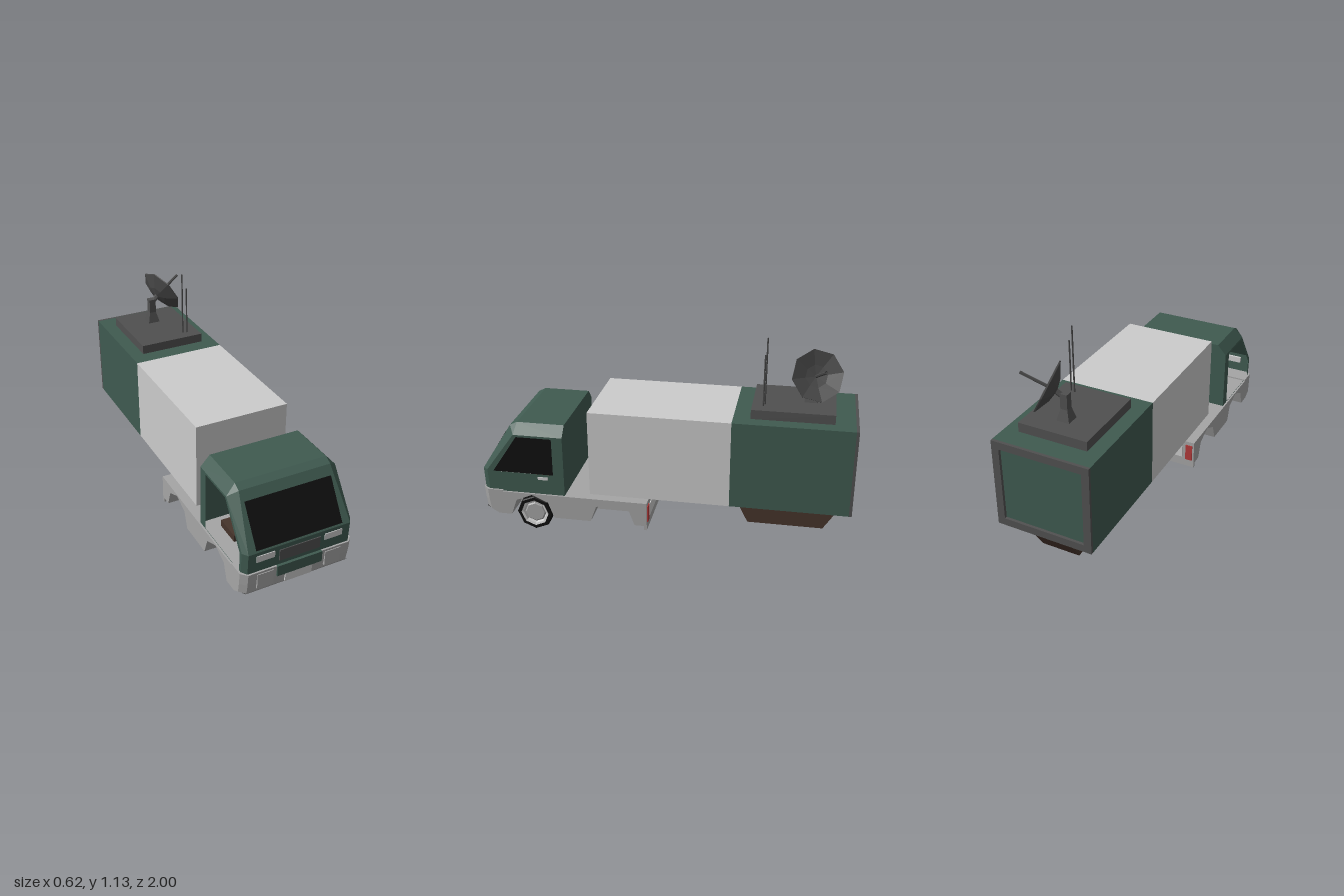
import * as THREE from 'three';
import { ConvexGeometry } from 'three/addons/geometries/ConvexGeometry.js';

const mat = (color) => new THREE.MeshStandardMaterial({ color, flatShading: true, side: THREE.DoubleSide });
const M = {
  pale: mat(0xcccccc), grey: mat(0xa5a5a5), dark: mat(0x505050), metal: mat(0x484848),
  green: mat(0x3f5a50), brown: mat(0x46342b), black: mat(0x101010), red: mat(0xb03a3a),
};

export function createModel() {
  const root = new THREE.Group();

  const add = (name, geo, m, parent = root) => {
    const mesh = new THREE.Mesh(geo, m);
    mesh.name = name;
    parent.add(mesh);
    return mesh;
  };
  // box given by its minimum and maximum on each axis
  const box = (name, m, x0, x1, y0, y1, z0, z1, parent) =>
    add(name, new THREE.BoxGeometry(x1 - x0, y1 - y0, z1 - z0)
      .translate((x0 + x1) / 2, (y0 + y1) / 2, (z0 + z1) / 2), m, parent);
  // flat convex polygons, each split into a fan
  const panels = (name, m, polys, parent) => {
    const pos = [];
    for (const p of polys)
      for (let i = 1; i < p.length - 1; i++) pos.push(...p[0], ...p[i], ...p[i + 1]);
    const g = new THREE.BufferGeometry();
    g.setAttribute('position', new THREE.Float32BufferAttribute(pos, 3));
    g.computeVertexNormals();
    return add(name, g, m, parent);
  };
  const shapeOf = (pts) => new THREE.Shape(pts.map((p) => new THREE.Vector2(...p)));
  // side-profile (z, y) extruded from x0 to x1
  const extrudeX = (pts, x0, x1) =>
    new THREE.ExtrudeGeometry(shapeOf(pts), { depth: x1 - x0, bevelEnabled: false })
      .rotateY(-Math.PI / 2).translate(x1, 0, 0);
  // round bar between two points
  const bar = (name, m, a, b, r, sides, parent) =>
    add(name, new THREE.TubeGeometry(new THREE.LineCurve3(a, b), 1, r, sides), m, parent);

  // --- Cargo body ---
  box('cargoBoxFront', M.pale, -0.26, 0.26, 0.24, 0.72, -0.36, 0.4);
  box('cargoBoxRear', M.green, -0.26, 0.26, 0.24, 0.72, -0.985, -0.36);
  box('cargoFloor', M.dark, -0.255, 0.255, 0.238, 0.242, -0.36, 0.395);
  for (const s of [-1, 1]) {
    box('rearFrameSide', M.dark, s * 0.24 - 0.02, s * 0.24 + 0.02, 0.24, 0.72, -1, -0.985);
    box('rearFrameRail', M.dark, -0.22, 0.22, 0.48 + s * 0.22 - 0.02, 0.48 + s * 0.22 + 0.02, -1, -0.985);
  }
  add('underTank', extrudeX([[-0.36, 0.24], [-0.45, 0.065], [-0.86, 0.065], [-0.97, 0.24]], -0.105, 0.105), M.brown);

  // --- Chassis with wheel arches ---
  const chassis = new THREE.Group();
  chassis.name = 'chassis';
  root.add(chassis);
  const arch = (c) => [[-0.122, 0.1], [-0.09, 0.19], [0, 0.23], [0.09, 0.19], [0.122, 0.1]].map(([z, y]) => [z + c, y]);
  const sill = [[0.09, 0.237], [0.09, 0.1], ...arch(0.265), ...arch(0.715), [0.9, 0.1], [0.9, 0.237]];
  box('chassisCore', M.grey, -0.17, 0.17, 0.1, 0.237, 0.09, 0.9, chassis);
  add('sillLeft', extrudeX(sill, 0.17, 0.31), M.grey, chassis);
  add('sillRight', extrudeX(sill, -0.31, -0.17), M.grey, chassis);
  box('rearPlate', M.grey, -0.31, 0.31, 0.075, 0.237, 0.075, 0.09, chassis);
  box('rearPanel', M.pale, -0.24, 0.24, 0.13, 0.2, 0.071, 0.076, chassis);

  // --- Front bumper: tapering plan, lower edge cut back ---
  const hull = [];
  for (const [y, z] of [[0.245, 0.995], [0.18, 0.99], [0.125, 0.982], [0.1, 0.94]])
    for (const s of [-1, 1])
      hull.push(new THREE.Vector3(s * 0.31, y, 0.88), new THREE.Vector3(s * 0.31, y, z - 0.03), new THREE.Vector3(s * 0.28, y, z));
  add('bumper', new ConvexGeometry(hull), M.grey);
  panels('bumperLowerStrip', M.dark, [[[-0.285, 0.1, 0.944], [0.285, 0.1, 0.944], [0.285, 0.126, 0.986], [-0.285, 0.126, 0.986]]]);
  box('bumperGrille', M.green, -0.125, 0.125, 0.185, 0.245, 0.97, 1);
  box('frontPlate', M.pale, -0.075, 0.075, 0.13, 0.184, 0.97, 0.993);
  for (const s of [-1, 1]) {
    box('foglight', M.grey, s * 0.188 - 0.044, s * 0.188 + 0.044, 0.147, 0.232, 0.97, 0.998);
    box('tailLight', M.red, s * 0.28 - 0.02, s * 0.28 + 0.02, 0.12, 0.215, 0.07, 0.08, chassis);
  }

  // --- Cab shell ---
  const cab = new THREE.Group();
  cab.name = 'cab';
  root.add(cab);
  // outer side edge and matching inner edge of the corner chamfer
  const outer = [[0.3, 0.58, 0.53], [0.3, 0.58, 0.8], [0.3, 0.36, 0.962], [0.3, 0.235, 0.955]];
  const inner = [[0.25, 0.635, 0.53], [0.25, 0.635, 0.79], [0.25, 0.615, 0.83], [0.28, 0.36, 0.99], [0.28, 0.235, 0.985]];
  const flip = ([x, y, z]) => [-x, y, z];
  const corner = [
    [outer[0], outer[1], inner[1], inner[0]],
    [outer[1], inner[2], inner[1]],
    [outer[1], outer[2], inner[3], inner[2]],
    [outer[2], outer[3], inner[4], inner[3]],
  ];
  panels('cabCorners', M.green, [...corner, ...corner.map((p) => p.map(flip))], cab);
  const across = (i) => [inner[i], inner[i + 1], flip(inner[i + 1]), flip(inner[i])];
  panels('cabRoofAndFront', M.green, [0, 1, 2, 3].map(across), cab);
  const backEdge = [[0.3, 0.235, 0.53], outer[0], inner[0]];
  panels('cabBackWall', M.green, [[...backEdge, ...backEdge.map(flip).reverse()]], cab);

  // side walls: a glazed door on the left, an open doorway on the right
  const windowPts = [[0.59, 0.355], [0.928, 0.355], [0.785, 0.568], [0.59, 0.568]];
  const doorway = [[0.585, 0.24], [0.94, 0.24], [0.942, 0.35], [0.79, 0.568], [0.585, 0.568]];
  for (const [name, x, hole] of [['doorSideLeft', 0.3, windowPts], ['doorSideRight', -0.3, doorway]]) {
    const side = shapeOf([[0.53, 0.235], ...[...outer].reverse().map(([, y, z]) => [z, y]), [0.53, 0.58]]);
    side.holes.push(shapeOf(hole));
    add(name, new THREE.ShapeGeometry(side).rotateY(-Math.PI / 2).translate(x, 0, 0), M.green, cab);
  }
  add('sideWindow', new THREE.ShapeGeometry(shapeOf(windowPts)).rotateY(-Math.PI / 2).translate(0.299, 0, 0), M.black, cab);
  box('doorHandle', M.pale, 0.3, 0.306, 0.325, 0.34, 0.62, 0.675, cab);

  // windscreen lies just proud of the sloping front
  const slopeZ = (y) => 0.83 + ((0.615 - y) * 0.16) / 0.255 + 0.003;
  panels('windscreen', M.black, [[[-0.237, 0.37], [0.237, 0.37], [0.237, 0.57], [-0.237, 0.57]].map(([x, y]) => [x, y, slopeZ(y)])], cab);
  box('grille', M.dark, -0.112, 0.112, 0.272, 0.335, 0.975, 0.994, cab);
  for (const s of [-1, 1]) {
    box('headlight', M.pale, s * 0.187 - 0.049, s * 0.187 + 0.049, 0.305, 0.34, 0.975, 0.993, cab);
    box('seat', M.brown, s * 0.14 - 0.08, s * 0.14 + 0.08, 0.237, 0.275, 0.6, 0.74, cab);
  }

  // --- Front wheel and half axle ---
  const wheel = new THREE.Group();
  wheel.name = 'frontWheel';
  wheel.position.set(0.24, 0.101, 0.715);
  root.add(wheel);
  // lathe profile (radius, outward distance)
  const turned = (name, pts, m) =>
    add(name, new THREE.LatheGeometry(pts.map((p) => new THREE.Vector2(...p)), 8).rotateZ(-Math.PI / 2), m, wheel);
  turned('tyre', [[0, -0.04], [0.09, -0.04], [0.101, -0.03], [0.101, 0.032], [0.096, 0.04], [0.078, 0.04]], M.black);
  turned('rim', [[0.078, 0.04], [0.066, 0.036], [0.06, 0.02]], M.pale);
  turned('hub', [[0.062, 0.02], [0.052, 0.028], [0, 0.028]], M.grey);
  bar('axle', M.grey, new THREE.Vector3(0, 0.092, 0.715), new THREE.Vector3(0.21, 0.092, 0.715), 0.008, 6);

  // --- Roof platform, mast and antennas ---
  box('roofPlatform', M.dark, -0.185, 0.185, 0.72, 0.77, -0.88, -0.45);
  const mast = new THREE.CylinderGeometry(0.027, 0.049, 0.06, 4).rotateY(Math.PI / 4);
  add('mastBase', mast.translate(0, 0.8, -0.75), M.dark);
  box('mastPost', M.dark, -0.019, 0.019, 0.83, 0.91, -0.769, -0.731);
  for (const [x, z, top] of [[0.095, -0.515, 1.13], [0.118, -0.508, 1.045]])
    bar('antenna', M.metal, new THREE.Vector3(x, 0.77, z), new THREE.Vector3(x, top, z), 0.004, 6);

  // --- Dish facing up and to the left ---
  const dish = new THREE.Group();
  dish.name = 'dish';
  dish.position.set(0.072, 0.935, -0.773);
  dish.quaternion.setFromUnitVectors(new THREE.Vector3(0, 1, 0), new THREE.Vector3(0.85, 0.45, -0.28).normalize());
  root.add(dish);
  const bowl = [[0, -0.042], [0.06, -0.03], [0.138, 0.006], [0.138, 0.012], [0.06, -0.014], [0, -0.024]];
  add('dishBowl', new THREE.LatheGeometry(bowl.map((p) => new THREE.Vector2(...p)), 8, Math.PI / 8), M.metal, dish);
  bar('feedArm', M.metal, new THREE.Vector3(0, -0.03, 0), new THREE.Vector3(0, 0.15, 0), 0.008, 6, dish);
  bar('dishMount', M.dark, new THREE.Vector3(0.005, 0.885, -0.75), new THREE.Vector3(0.045, 0.92, -0.765), 0.014, 6);

  return root;
}
